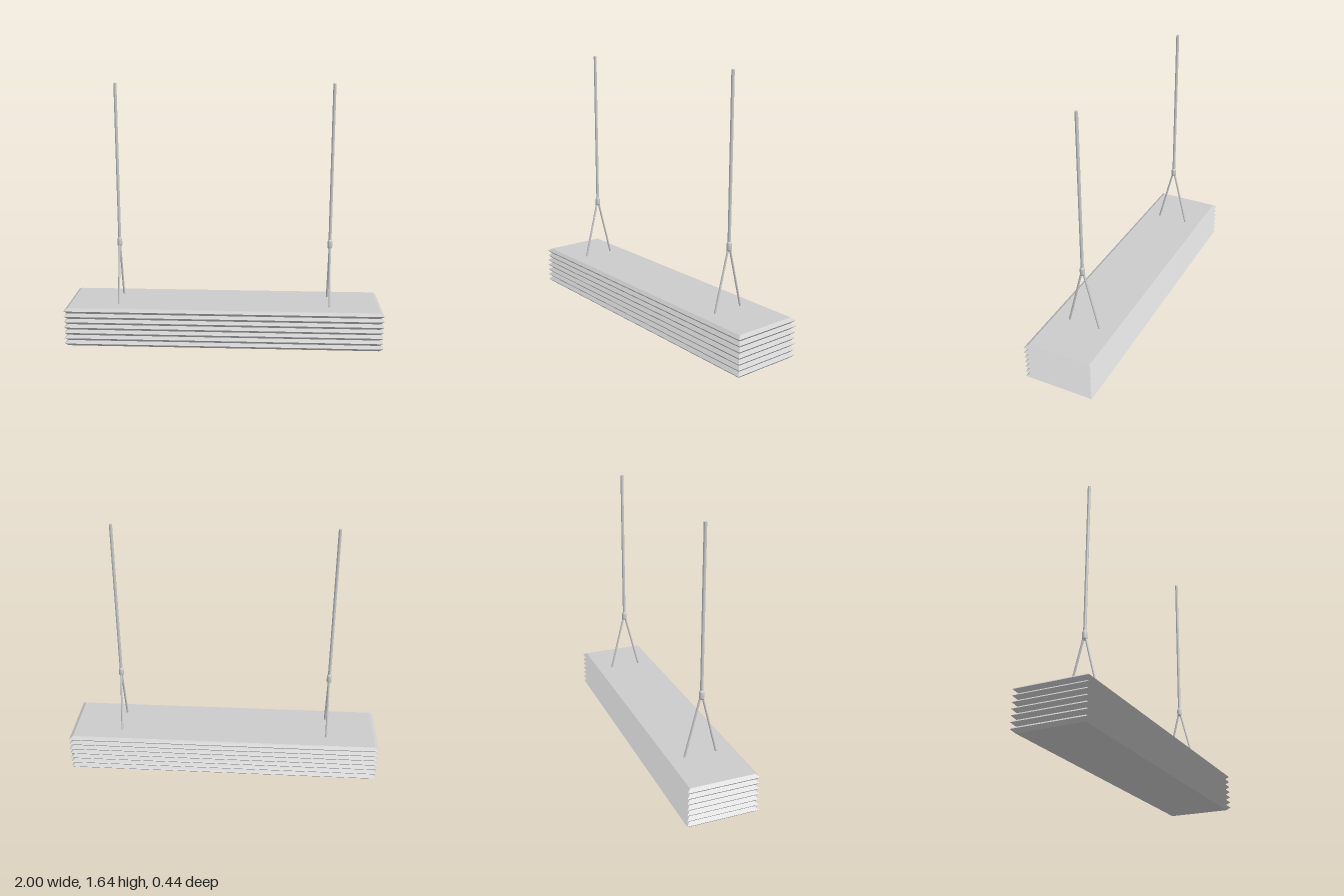
import * as THREE from 'three';

const material = new THREE.MeshStandardMaterial({ color: 0xcccccc });

function addMesh(parent, name, geometry) {
  const mesh = new THREE.Mesh(geometry, material);
  mesh.name = name;
  parent.add(mesh);
  return mesh;
}

// Rectangular ring of corners, counter-clockwise seen from above
function ring(y, hx, hz) {
  return [[-hx, y, hz], [hx, y, hz], [hx, y, -hz], [-hx, y, -hz]];
}

// Closed, flat-faced skin through a stack of rectangular rings
function loftRings(rings) {
  const positions = [];
  const quad = (a, b, c, d) => positions.push(...a, ...b, ...c, ...a, ...c, ...d);
  for (let i = 0; i < rings.length - 1; i++) {
    for (let k = 0; k < 4; k++) {
      const n = (k + 1) % 4;
      quad(rings[i][k], rings[i][n], rings[i + 1][n], rings[i + 1][k]);
    }
  }
  quad(...rings[rings.length - 1]);
  quad(...[...rings[0]].reverse());
  const geometry = new THREE.BufferGeometry();
  geometry.setAttribute('position', new THREE.Float32BufferAttribute(positions, 3));
  geometry.computeVertexNormals();
  return geometry;
}

// Straight round bar between two points
function bar(from, to, radius) {
  return new THREE.TubeGeometry(new THREE.LineCurve3(from, to), 1, radius, 12);
}

// Pleated box: seven ridges around all four sides
function pleatedShade() {
  const tiers = 7, height = 0.25, pitch = height / tiers;
  const rings = [];
  for (let i = 0; i < tiers; i++) {
    rings.push(ring(i * pitch, 0.978, 0.2));
    rings.push(ring(i * pitch + 0.02, 1, 0.222));
  }
  rings.push(ring(height, 0.978, 0.2));
  return loftRings(rings);
}

// Long rod, ferrule and two splayed stays
function hanger(x) {
  const group = new THREE.Group();
  group.position.x = x;

  const rod = addMesh(group, 'rod', new THREE.CylinderGeometry(0.0095, 0.0095, 0.99, 16));
  rod.position.y = 1.145;

  const profile = [[0, 0.61], [0.014, 0.61], [0.0155, 0.618], [0.0155, 0.65], [0.011, 0.664], [0, 0.664]];
  const ferrule = new THREE.LatheGeometry(profile.map(p => new THREE.Vector2(...p)), 16);
  addMesh(group, 'ferrule', ferrule);

  for (const side of [-1, 1]) {
    const top = new THREE.Vector3(0, 0.62, side * 0.007);
    const foot = new THREE.Vector3(0, 0.245, side * 0.102);
    addMesh(group, side > 0 ? 'frontStay' : 'backStay', bar(top, foot, 0.0065));
  }
  return group;
}

export function createModel() {
  const model = new THREE.Group();
  model.name = 'pendantLamp';
  addMesh(model, 'pleatedShade', pleatedShade());
  for (const side of [-1, 1]) {
    const support = hanger(side * 0.67);
    support.name = side > 0 ? 'leftHanger' : 'rightHanger';
    model.add(support);
  }
  return model;
}
